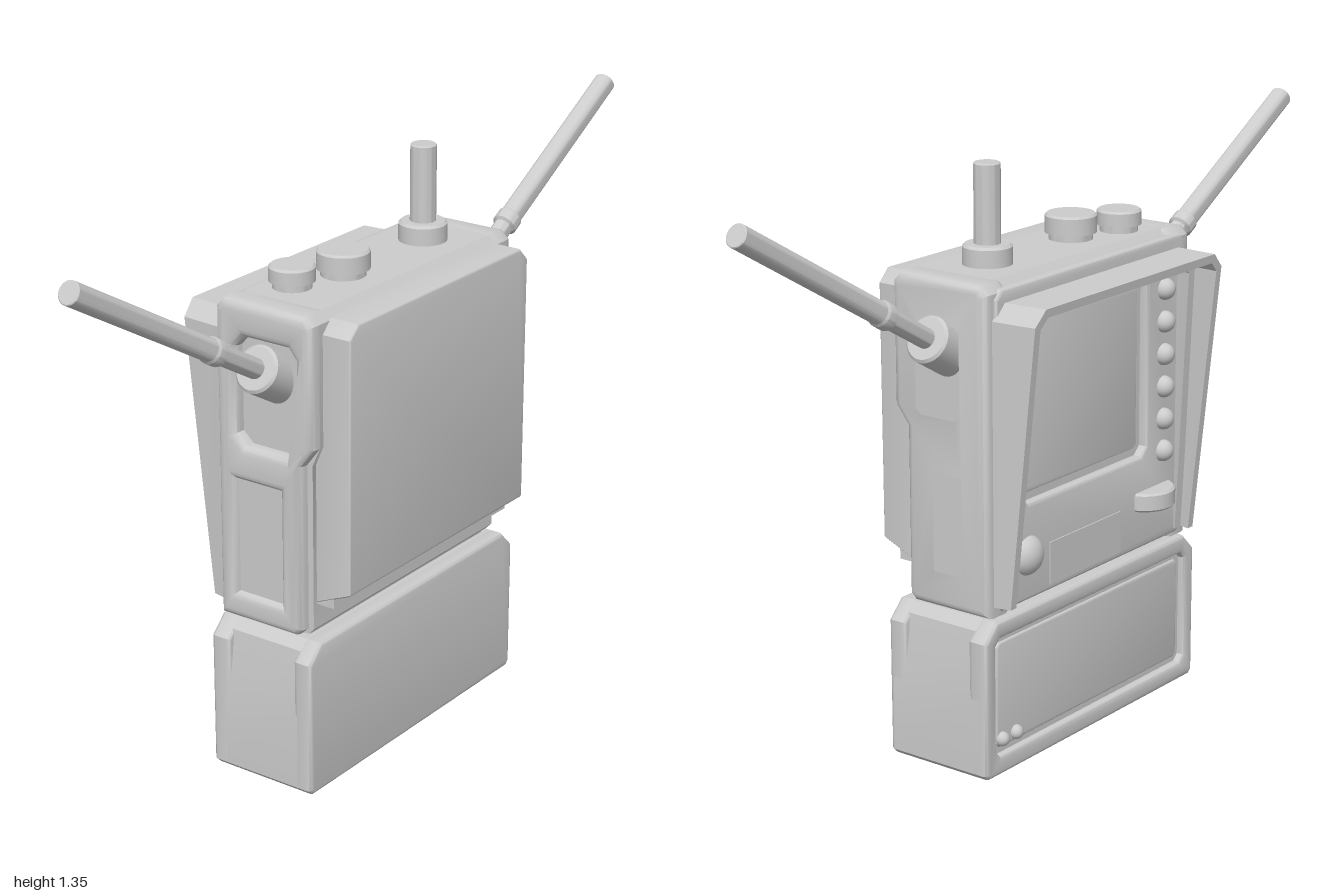
import * as THREE from 'three';
import { toCreasedNormals } from 'three/addons/utils/BufferGeometryUtils.js';

const grey = new THREE.MeshStandardMaterial({ color: 0xcccccc });

const vectors = (pts) => pts.map(([x, y]) => new THREE.Vector2(x, y));

// Solid between z0 and z1 from an outline, with rounded edges kept inside the outline.
function slab(outline, z0, z1, bevel = 0, holes = []) {
  const shape = new THREE.Shape(vectors(outline));
  holes.forEach((h) => shape.holes.push(new THREE.Path(vectors(h))));
  const geo = new THREE.ExtrudeGeometry(shape, {
    depth: z1 - z0 - 2 * bevel, bevelEnabled: bevel > 0, bevelSize: bevel,
    bevelThickness: bevel, bevelOffset: -bevel, bevelSegments: 3,
  });
  geo.translate(0, 0, z0 + bevel);
  return toCreasedNormals(geo, 0.6);
}

// Rectangle with cut corners; top and bottom cuts may differ.
function rect(x0, x1, y0, y1, top = 0.01, bottom = top) {
  return [
    [x0 + bottom, y0], [x1 - bottom, y0], [x1, y0 + bottom], [x1, y1 - top],
    [x1 - top, y1], [x0 + top, y1], [x0, y1 - top], [x0, y0 + bottom],
  ];
}

export function createModel() {
  const model = new THREE.Group();

  function add(name, geo, x = 0, y = 0, z = 0, parent = model) {
    const mesh = new THREE.Mesh(geo, grey);
    mesh.name = name;
    mesh.position.set(x, y, z);
    parent.add(mesh);
    return mesh;
  }

  // Turned part standing on y = 0, from [radius, height] points
  const turned = (pts, sides = 32) => toCreasedNormals(new THREE.LatheGeometry(vectors(pts), sides), 0.6);

  // Battery base: scooped core with full-size caps at the front and back
  const baseOutline = rect(-0.405, 0.405, 0, 0.368, 0.042, 0.012);
  const scooped = [
    [-0.393, 0], [0.393, 0], [0.405, 0.012], [0.405, 0.19], [0.385, 0.345], [0.363, 0.368],
    [-0.363, 0.368], [-0.385, 0.345], [-0.405, 0.19], [-0.405, 0.012],
  ];
  add('baseCore', slab(scooped, -0.102, 0.145));
  add('baseFront', slab(baseOutline, 0.11, 0.157, 0.01));
  add('baseBackFrame', slab(baseOutline, -0.12, -0.07, 0.01, [rect(-0.365, 0.365, 0.045, 0.325, 0.015)]));
  add('basePanel', slab(rect(-0.35, 0.35, 0.06, 0.31, 0.01), -0.108, -0.095, 0.004));
  for (const x of [0.335, 0.285]) add('indicator', new THREE.SphereGeometry(0.017, 16, 12), x, 0.08, -0.11);
  add('neck', new THREE.BoxGeometry(0.68, 0.06, 0.19), 0, 0.37, 0.015);

  // Main body: side profile swept across the width
  const profile = (s, back, low) => [
    [back, 0.375], [low - 0.015, 0.375], [low, 0.39], [low, 0.78], [0.15, 0.825],
    [0.15, 1.105], [0.13, 1.125], [back + 0.02, 1.125], [back, 1.105],
  ].map(([z, y]) => [-s * z, y]);
  add('bodyCore', slab(profile(1, -0.095, 0.13), -0.354, 0.354)).rotation.y = Math.PI / 2;

  // Cheeks with an antenna recess and a shallow grip recess
  for (const s of [1, -1]) {
    const recess = [[0.105, 0.82], [0.105, 1.02], [0.085, 1.045], [-0.035, 1.045], [-0.057, 1.02], [-0.057, 0.82], [-0.03, 0.795], [0.08, 0.795]];
    const grip = [[0.06, 0.44], [0.06, 0.71], [-0.06, 0.71], [-0.06, 0.44]];
    const flip = (pts) => pts.map(([z, y]) => [-s * z, y]);
    const holes = [flip(recess), flip(grip)];
    add('cheek', slab(profile(s, -0.11, 0.116), 0.3, 0.385, 0.02, holes)).rotation.y = s * Math.PI / 2;
    add('gripPanel', new THREE.BoxGeometry(0.04, 0.29, 0.14), s * 0.35, 0.575, 0);
  }

  // Front cover plate: side profile with a slanted lower edge
  const cover = slab(rect(-0.342, 0.342, 0.445, 1.11, 0.03, 0.003), 0.11, 0.222, 0.006);
  const cp = cover.attributes.position;
  for (let i = 0; i < cp.count; i++) {
    if (cp.getY(i) < 0.5 && cp.getZ(i) > 0.2) cp.setY(i, cp.getY(i) + 0.045 * (cp.getZ(i) - 0.11) / 0.112);
  }
  add('frontCover', toCreasedNormals(cover, 0.6));
  add('coverLowerLip', new THREE.BoxGeometry(0.68, 0.03, 0.06), 0, 0.462, 0.145);

  // Rear face with the screen opening
  add('rearFace', slab(rect(-0.356, 0.356, 0.385, 1.112, 0.02), -0.117, -0.085, 0.008,
    [rect(-0.205, 0.265, 0.61, 1.035, 0.02)]));
  add('screen', slab(rect(-0.185, 0.245, 0.63, 1.015, 0.01), -0.101, -0.09, 0.003));
  add('labelPlate', new THREE.BoxGeometry(0.27, 0.1, 0.01), 0.035, 0.45, -0.115);

  // Sun hood: three walls, deeper toward the top
  function hood(width, wall, bottomDepth, topDepth) {
    const w = width, i = w - wall, c = 0.035, k = wall * 0.42;
    const top = 0.72 + w, geo = slab([
      [-w, 0.4], [-i, 0.4], [-i, top - c - k], [-w + c + k, top - wall], [w - c - k, top - wall],
      [i, top - c - k], [i, 0.4], [w, 0.4], [w, top - c], [w - c, top], [-w + c, top], [-w, top - c],
    ], 0, 1);
    const p = geo.attributes.position;
    for (let n = 0; n < p.count; n++) {
      const t = 1 - p.getZ(n);
      const edge = bottomDepth + (topDepth - bottomDepth) * (p.getY(n) - 0.4) / 0.68;
      p.setX(n, p.getX(n) * (1 - 0.025 * t));
      p.setZ(n, -0.105 - t * (edge - 0.105));
    }
    return toCreasedNormals(geo, 0.4);
  }
  add('sunHood', hood(0.362, 0.02, 0.15, 0.222));
  add('hoodInnerLip', hood(0.358, 0.035, 0.125, 0.157));

  // Rear controls
  for (let i = 0; i < 6; i++) {
    add('rearButton', new THREE.SphereGeometry(0.026, 20, 14), -0.27, 0.605 + i * 0.078, -0.118);
  }
  add('roundButton', new THREE.SphereGeometry(0.047, 24, 16), 0.245, 0.49, -0.108).scale.z = 0.8;
  add('thumbWheel', turned([[0, 0], [0.07, 0], [0.075, 0.005], [0.075, 0.04], [0.07, 0.045], [0, 0.045]], 40), -0.23, 0.48, -0.092);

  // Top knobs and stub antenna
  const knob = (r, h) => turned([[r * 0.85, -0.01], [r * 0.85, 0.014], [r, 0.016], [r, h - 0.005], [r - 0.005, h], [0, h]]);
  add('smallKnob', knob(0.052, 0.052), -0.235, 1.125, -0.012);
  add('largeKnob', knob(0.06, 0.06), -0.102, 1.125, 0.027);
  add('stubAntenna', turned([
    [0.056, -0.01], [0.056, 0.04], [0.05, 0.046], [0.03, 0.046], [0.03, 0.222], [0.027, 0.225], [0, 0.225],
  ]), 0.205, 1.125, 0.025);

  // Slanted side antennas, each with a mount, thin shank, collar and rod
  for (const s of [1, -1]) {
    const antenna = new THREE.Group();
    antenna.name = 'sideAntenna';
    antenna.position.set(s * 0.33, 0.95, 0.027);
    antenna.rotation.z = -s * Math.PI / 3;
    add('antennaMount', turned([[0, -0.02], [0.054, -0.02], [0.054, 0.094], [0.048, 0.1], [0, 0.1]]), 0, 0, 0, antenna);
    add('antennaRod', turned([
      [0.023, 0.09], [0.023, 0.24], [0.03, 0.245], [0.03, 0.272], [0.026, 0.278],
      [0.026, 0.755], [0.024, 0.757], [0, 0.757],
    ]), 0, 0, 0, antenna);
    model.add(antenna);
  }

  return model;
}
